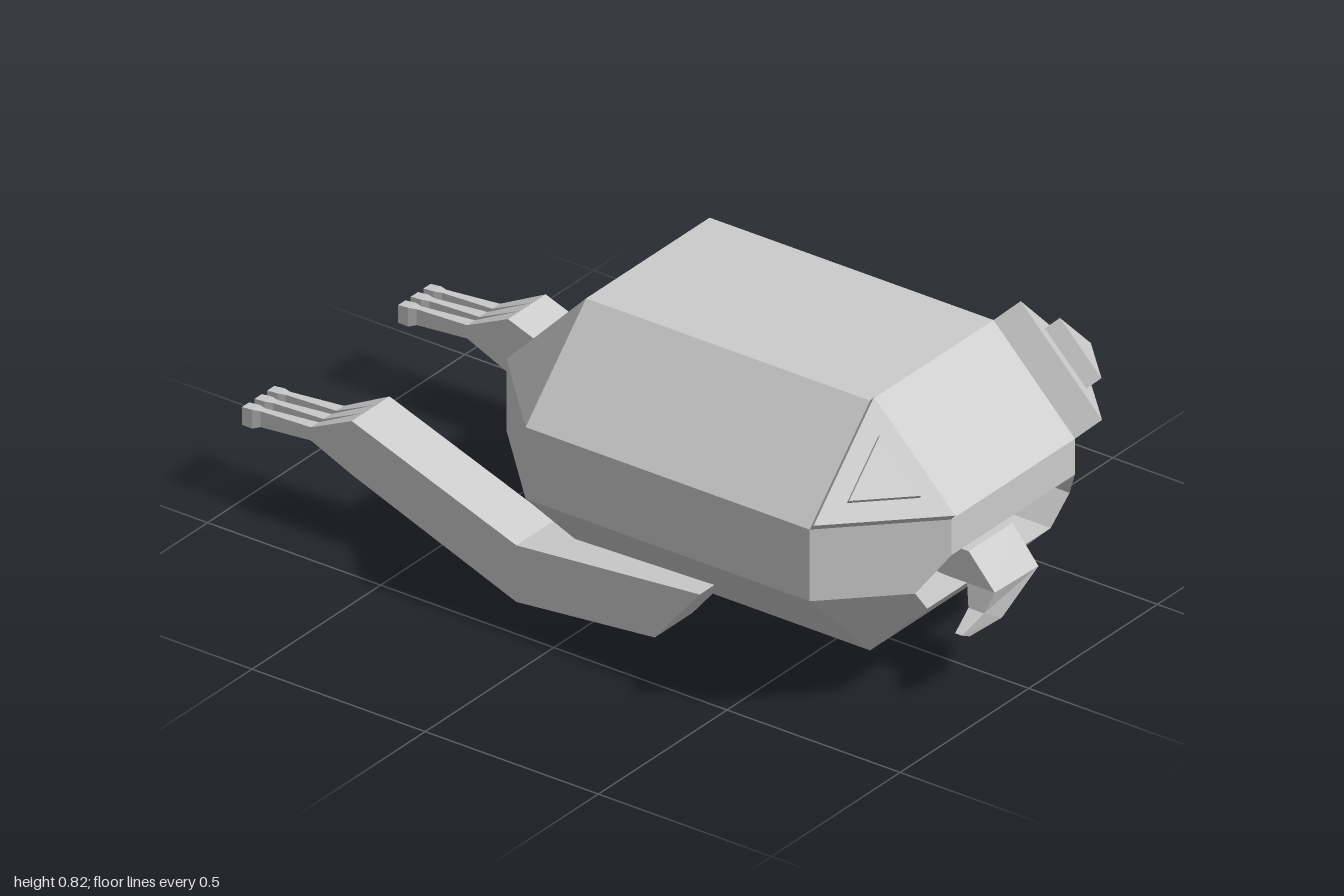
import * as THREE from 'three';

const material = new THREE.MeshStandardMaterial({ color: 0xcccccc, flatShading: true });

// Append a convex polygon as a fan, facing away from (or towards) a centre point
function addPolygon(out, points, centre, inward = false) {
  const p = points.map((a) => new THREE.Vector3(...a));
  const normal = new THREE.Vector3();
  for (let i = 0; i < p.length; i++) normal.add(p[i].clone().cross(p[(i + 1) % p.length]));
  const faces = normal.dot(p[0].clone().sub(new THREE.Vector3(...centre))) > 0;
  if (faces === inward) p.reverse();
  for (let i = 1; i < p.length - 1; i++) {
    for (const v of [p[0], p[i], p[i + 1]]) out.push(v.x, v.y, v.z);
  }
}

function makeMesh(name, positions) {
  const geometry = new THREE.BufferGeometry();
  geometry.setAttribute('position', new THREE.Float32BufferAttribute(positions, 3));
  geometry.computeVertexNormals();
  const mesh = new THREE.Mesh(geometry, material);
  mesh.name = name;
  return mesh;
}

const average = (points) => [0, 1, 2].map((k) => points.reduce((s, p) => s + p[k], 0) / points.length);

// Skin a row of cross-sections and close both ends
function loft(name, sections) {
  const out = [];
  const last = sections.length - 1;
  for (let i = 0; i < last; i++) {
    const a = sections[i], b = sections[i + 1];
    const centre = average([...a, ...b]);
    a.forEach((_, j) => {
      const k = (j + 1) % a.length;
      addPolygon(out, [a[j], a[k], b[k], b[j]], centre);
    });
    if (i === 0) addPolygon(out, a, centre);
    if (i === last - 1) addPolygon(out, b, centre);
  }
  return makeMesh(name, out);
}

// Four-cornered section from a top point, a bottom point and a z range
const section = ([tx, ty], [bx, by], z0, z1) => [[tx, ty, z0], [tx, ty, z1], [bx, by, z1], [bx, by, z0]];

// Main body dimensions: inner (flat faces) and outer (chamfered) limits
const X0 = -0.33, X1 = -0.1, X2 = 0.72, X3 = 0.955;
const Y0 = 0.115, Y1 = 0.35, Y2 = 0.54, Y3 = 0.777;
const ZI = 0.24, ZO = 0.475;

function makeBody() {
  const out = [];
  const centre = [0.3, 0.44, 0];
  const face = (...points) => addPolygon(out, points, centre);
  // A face spanning both sides from two centre-line points
  const span = ([ax, ay], [bx, by], z = ZI) => face([ax, ay, z], [ax, ay, -z], [bx, by, -z], [bx, by, z]);

  // Back, top, front and underside strips
  const strip = [[0.885, 0.28], [X2, Y0], [X1, Y0], [X0, Y1], [X0, Y2], [X1, Y3], [X2, Y3], [X3, Y2], [X3, 0.445]];
  for (let i = 0; i < strip.length - 1; i++) span(strip[i], strip[i + 1]);

  for (const s of [1, -1]) {
    const i = s * ZI, o = s * ZO, lip = s * 0.3;
    // Flank and its chamfers
    face([X1, Y1, o], [X2, Y1, o], [X2, Y2, o], [X1, Y2, o]);
    face([X1, Y2, o], [X2, Y2, o], [X2, Y3, i], [X1, Y3, i]);
    face([X1, Y1, o], [X2, Y1, o], [X2, Y0, i], [X1, Y0, i]);
    // Back corner
    face([X0, Y1, i], [X1, Y1, o], [X1, Y2, o], [X0, Y2, i]);
    face([X0, Y2, i], [X1, Y2, o], [X1, Y3, i]);
    face([X0, Y1, i], [X1, Y1, o], [X1, Y0, i]);
    // Front corner, cut by the mouth
    face([X3, Y2, i], [X2, Y2, o], [X2, Y3, i]);
    face([X3, Y2, i], [X3, 0.445, i], [0.895, Y1, lip], [X2, Y1, o], [X2, Y2, o]);
    face([X2, Y1, o], [0.895, Y1, lip], [0.885, 0.28, i], [X2, Y0, i]);
  }

  // Mouth pocket
  const rim = [
    [X3, 0.445, ZI], [0.895, Y1, 0.3], [0.885, 0.28, ZI],
    [0.885, 0.28, -ZI], [0.895, Y1, -0.3], [X3, 0.445, -ZI],
  ];
  const back = rim.map(([x, y, z]) => [x - 0.12, y, z]);
  const middle = average([...rim, ...back]);
  rim.forEach((_, j) => {
    const k = (j + 1) % rim.length;
    addPolygon(out, [rim[j], rim[k], back[k], back[j]], middle, true);
  });
  addPolygon(out, back, middle, true);
  return makeMesh('body', out);
}

// Triangular plate raised from one slanted corner
function trianglePlate(name, triangle, height, side) {
  const base = triangle.map(([x, y, z]) => [x, y, z * side]);
  const top = triangle.map(([x, y, z]) => [x + height, y + height, (z + height) * side]);
  return loft(name, [base, top]);
}

function makeEye(side) {
  const eye = new THREE.Group();
  eye.name = side > 0 ? 'frontSideEye' : 'backSideEye';
  eye.add(trianglePlate('eyeball', [[X2, Y3, ZI], [X2, Y2, ZO], [X3, Y2, ZI]], 0.045, side));
  eye.add(trianglePlate('pupil', [[0.805, 0.745, 0.325], [0.805, 0.625, 0.445], [0.925, 0.625, 0.325]], 0.025, side));
  return eye;
}

function makeLeg(side) {
  const leg = new THREE.Group();
  leg.name = side > 0 ? 'frontSideLeg' : 'backSideLeg';
  const z0 = 0.23 * side, z1 = 0.377 * side;
  leg.add(loft('limb', [
    section([0.33, 0.195], [0.2, 0.038], z0, z1),
    section([-0.2, 0.15], [-0.2, 0], z0, z1),
    section([-0.675, 0.322], [-0.675, 0.18], z0, z1),
  ]));
  // Three toes: x, top y, bottom y, half width
  const profile = [
    [-0.675, 0.322, 0.18, 0.0245], [-0.8, 0.26, 0.225, 0.015],
    [-0.95, 0.25, 0.208, 0.009], [-0.97, 0.25, 0.2, 0.015], [-1, 0.247, 0.2, 0.014],
  ];
  for (let t = 0; t < 3; t++) {
    const z = side * (0.2545 + t * 0.049);
    leg.add(loft('toe', profile.map(([x, top, bottom, w]) => section([x, top], [x, bottom], z - w, z + w))));
  }
  return leg;
}

// Tongue hanging over the lip and curling to one side
function makeTongue() {
  const bent = (outer, inner, [ya, za], [yb, zb]) => [[outer, ya, za], [outer, yb, zb], [inner, yb, zb], [inner, ya, za]];
  return loft('tongue', [
    section([0.76, 0.365], [0.76, 0.285], 0.085, -0.085),
    section([0.89, 0.365], [0.885, 0.275], 0.085, -0.085),
    bent(0.965, 0.885, [0.28, 0.085], [0.275, -0.085]),
    bent(0.945, 0.9, [0.225, 0.1], [0.183, 0.03]),
    bent(0.93, 0.91, [0.19, 0.165], [0.175, 0.135]),
  ]);
}

export function createModel() {
  const model = new THREE.Group();
  model.name = 'creature';
  model.add(makeBody(), makeTongue());
  for (const side of [1, -1]) model.add(makeEye(side), makeLeg(side));
  return model;
}
